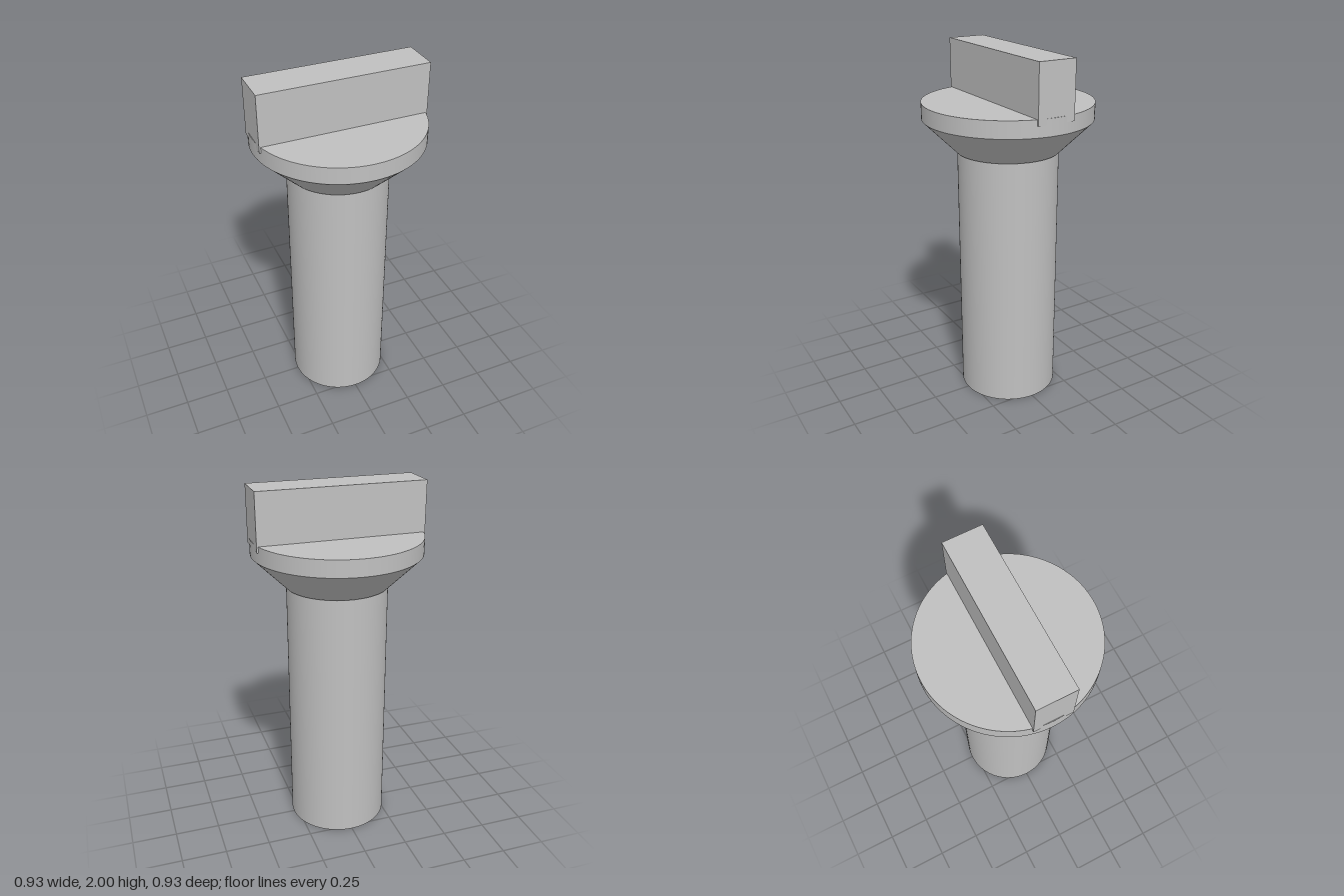
import * as THREE from 'three';

export function createModel() {
  const model = new THREE.Group();
  const grey = new THREE.MeshStandardMaterial({ color: 0xc0c0c0 });
  grey.name = 'plain grey';

  const add = (name, geometry, y) => {
    const mesh = new THREE.Mesh(geometry, grey);
    mesh.name = name;
    mesh.position.y = y;
    model.add(mesh);
  };
  // Round section standing between two heights
  const round = (name, rTop, rBottom, y0, y1, open = false) =>
    add(name, new THREE.CylinderGeometry(rTop, rBottom, y1 - y0, 96, 1, open), (y0 + y1) / 2);

  // Straight shaft, flared neck with a tiny lip, and flat rim
  round('shaft', 0.279, 0.279, 0, 1.46);
  round('flaredNeck', 0.467, 0.287, 1.45, 1.63);
  round('rim', 0.467, 0.467, 1.63, 1.722);

  // Flat grip blade, sunk slightly into the rim so its corners overhang
  add('gripBlade', new THREE.BoxGeometry(0.926, 0.31, 0.214), 1.845);

  return model;
}
